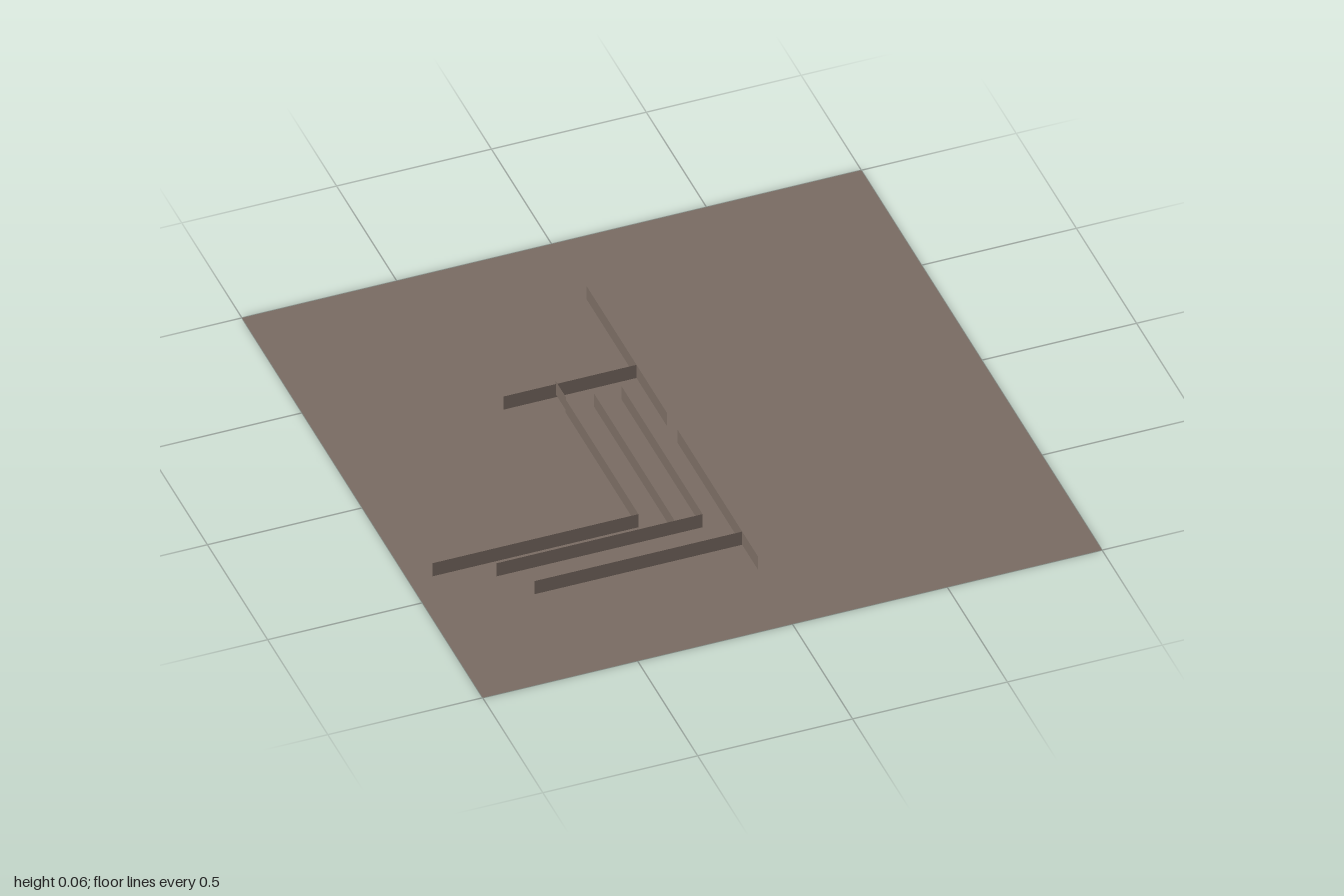
import * as THREE from 'three';

export function createModel() {
  const model = new THREE.Group();
  const taupe = new THREE.MeshStandardMaterial({ color: 0x7a6c63, side: THREE.DoubleSide });
  taupe.name = 'taupe';
  const H = 0.05;

  // Upright sheet standing between two floor points
  function wall(name, x0, z0, x1, z1, y0 = 0, y1 = H) {
    const length = Math.hypot(x1 - x0, z1 - z0);
    const mesh = new THREE.Mesh(new THREE.PlaneGeometry(length, y1 - y0), taupe);
    mesh.position.set((x0 + x1) / 2, (y0 + y1) / 2, (z0 + z1) / 2);
    mesh.rotation.y = -Math.atan2(z1 - z0, x1 - x0);
    mesh.name = name;
    model.add(mesh);
  }

  // Ground sheet
  const floor = new THREE.Mesh(new THREE.PlaneGeometry(2, 2), taupe);
  floor.rotation.x = -Math.PI / 2;
  floor.name = 'floor';
  model.add(floor);

  // Centre line with a doorway gap
  wall('centreWallBack', 0, -0.71, 0, -0.04);
  wall('centreWallFront', 0, 0.045, 0, 0.715);

  // Parallel corridor walls
  wall('corridorWallOuter', -0.26, -0.215, -0.26, 0.39);
  wall('corridorWallMiddle', -0.17, -0.21, -0.17, 0.46);
  wall('corridorWallInner', -0.08, -0.215, -0.08, 0.455);

  // Cross walls
  wall('crossWallBack', -0.43, -0.295, 0, -0.295);
  wall('crossWallOuter', -0.925, 0.39, -0.26, 0.39);
  wall('crossWallMiddle', -0.745, 0.46, -0.08, 0.46);
  wall('crossWallFront', -0.67, 0.583, 0, 0.583);

  // Short raised panel closing the outer corridor wall
  wall('raisedPanel', -0.26, -0.3, -0.26, -0.21, 0.01, 0.06);

  return model;
}
